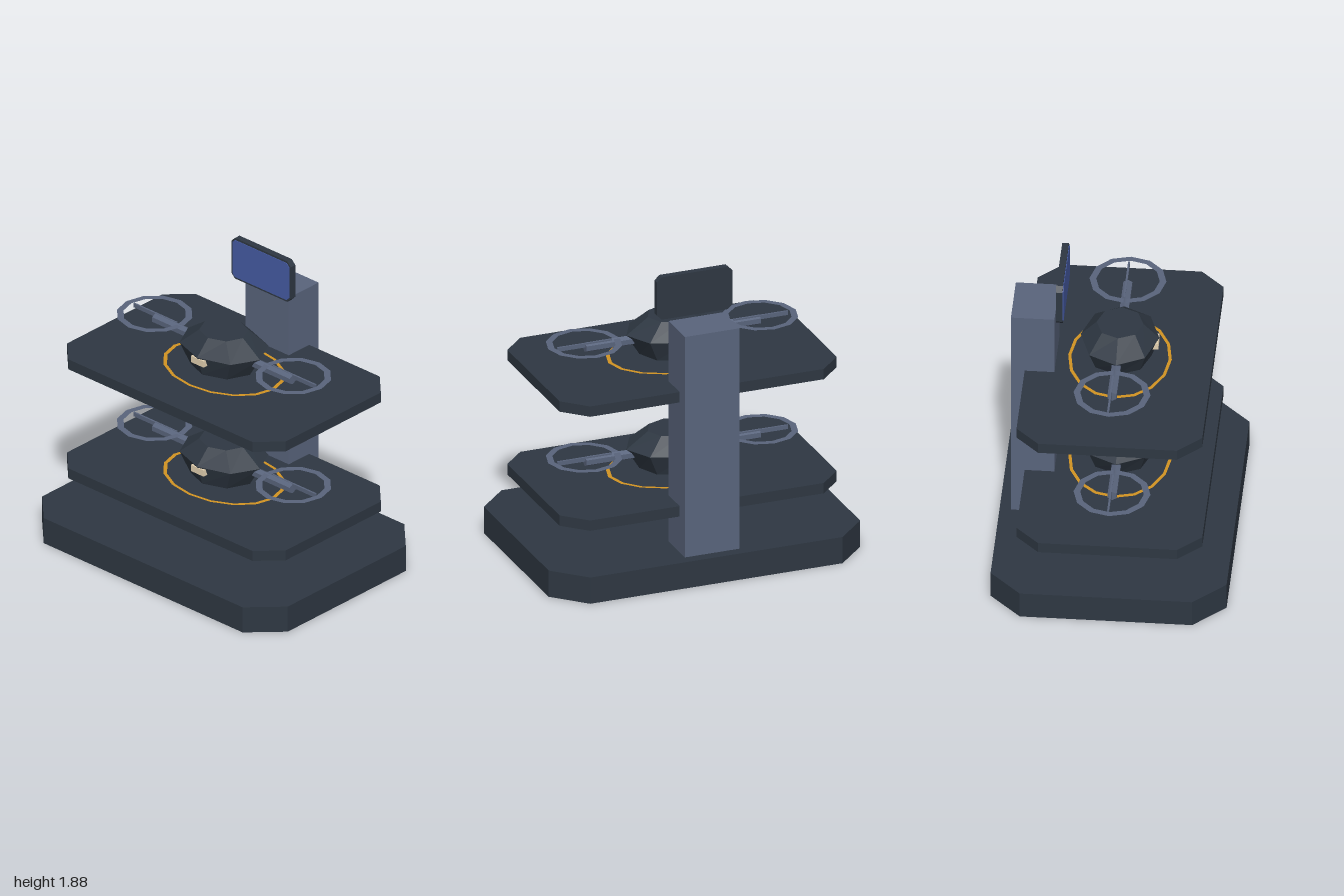
import * as THREE from 'three';

const material = (name, color, side = THREE.FrontSide) => {
  const m = new THREE.MeshStandardMaterial({ color, side });
  m.name = name;
  return m;
};

export function createModel() {
  const dark = material('dark slate', 0x2e3742);
  const steel = material('steel blue', 0x59647c, THREE.DoubleSide);
  const blue = material('screen blue', 0x465ba4);
  const amber = material('amber', 0xd29322, THREE.DoubleSide);
  const cream = material('cream', 0xe2d0b0);

  const model = new THREE.Group();
  model.name = 'droneDisplayStand';

  function add(parent, name, geometry, mat, x = 0, y = 0, z = 0) {
    const mesh = new THREE.Mesh(geometry, mat);
    mesh.name = name;
    mesh.position.set(x, y, z);
    parent.add(mesh);
    return mesh;
  }

  // Rectangle with cut corners, extruded along +z
  function cutPlate(w, h, cut, depth) {
    const a = w / 2, b = h / 2;
    const points = [
      [a - cut, -b], [a, -b + cut], [a, b - cut], [a - cut, b],
      [-a + cut, b], [-a, b - cut], [-a, -b + cut], [-a + cut, -b],
    ].map(([x, y]) => new THREE.Vector2(x, y));
    return new THREE.ExtrudeGeometry(new THREE.Shape(points), { depth, bevelEnabled: false });
  }
  const slab = (w, d, cut, h) => cutPlate(w, d, cut, h).rotateX(-Math.PI / 2);

  // Faceted eight-sided hull built from elliptical rings [y, radiusX, radiusZ]
  function hull(rings) {
    const point = ([y, rx, rz], i) => {
      const a = (i * Math.PI) / 4;
      return [rx * Math.sin(a), y, rz * Math.cos(a)];
    };
    const low = rings[0], high = rings[rings.length - 1];
    const pos = [];
    for (let i = 0; i < 8; i++) {
      for (let r = 0; r < rings.length - 1; r++) {
        const a = point(rings[r], i), b = point(rings[r], i + 1);
        const c = point(rings[r + 1], i + 1), d = point(rings[r + 1], i);
        pos.push(...a, ...b, ...c, ...a, ...c, ...d);
      }
      pos.push(0, high[0], 0, ...point(high, i), ...point(high, i + 1));
      pos.push(0, low[0], 0, ...point(low, i + 1), ...point(low, i));
    }
    const g = new THREE.BufferGeometry();
    g.setAttribute('position', new THREE.Float32BufferAttribute(pos, 3));
    g.computeVertexNormals();
    return g;
  }

  // Plinth and rear column
  add(model, 'base', slab(2, 1.41, 0.19, 0.17), dark);
  add(model, 'column', new THREE.BoxGeometry(0.35, 1.43, 0.26), steel, 0, 0.885, -0.507);

  // Sign screen in front of the column top
  add(model, 'screenFrame', cutPlate(0.485, 0.275, 0.03, 0.04), dark, 0, 1.746, -0.363);
  add(model, 'screenFace', cutPlate(0.46, 0.25, 0.02, 0.005), blue, 0, 1.746, -0.324);

  // Two shelves, each with a landing ring and a drone
  for (const [level, y] of [['lower', 0.403], ['upper', 1.143]]) {
    const tier = new THREE.Group();
    tier.name = level + 'Tier';
    tier.position.y = y;
    model.add(tier);

    add(tier, 'shelf', slab(1.78, 1.11, 0.14, 0.067), dark);
    const pad = new THREE.RingGeometry(0.385, 0.41, 16).rotateX(-Math.PI / 2).scale(1, 1, 0.755);
    add(tier, 'landingRing', pad, amber, 0, 0.071);

    const drone = new THREE.Group();
    drone.name = 'drone';
    tier.add(drone);
    add(drone, 'body', hull([[0.098, 0.21, 0.19], [0.23, 0.293, 0.235], [0.327, 0.155, 0.14]]), dark);
    add(drone, 'frontLight', new THREE.BoxGeometry(0.104, 0.042, 0.04), cream, 0, 0.202, 0.213);

    // Hexagonal arm, upright blade and flat guard ring on each side
    const arm = new THREE.CylinderGeometry(0.031, 0.031, 1.12, 6).toNonIndexed();
    arm.computeVertexNormals();
    arm.rotateY(Math.PI / 2).rotateZ(Math.PI / 2);
    add(drone, 'arms', arm, steel, 0, 0.197);
    for (const [side, s] of [['left', 1], ['right', -1]]) {
      add(drone, side + 'Blade', new THREE.BoxGeometry(0.35, 0.026, 0.012), steel, s * 0.565, 0.215, -0.008);
      add(drone, side + 'RotorRing', new THREE.RingGeometry(0.19, 0.23, 12).rotateX(-Math.PI / 2),
        steel, s * 0.565, 0.223);
    }
  }
  return model;
}
